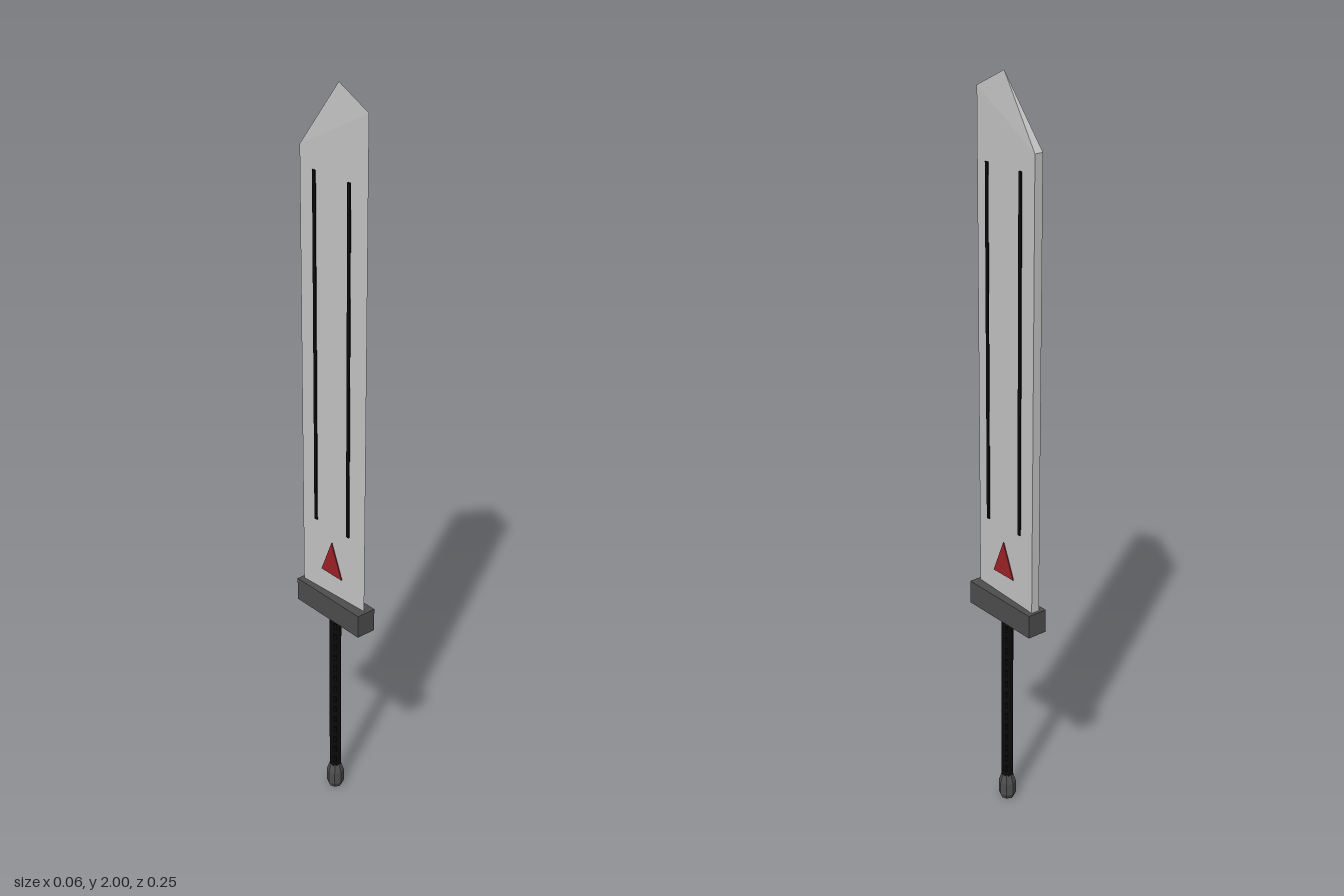
import * as THREE from 'three';

const mat = (name, color) => {
  const m = new THREE.MeshStandardMaterial({ color });
  m.name = name;
  return m;
};

export function createModel() {
  const steel = mat('steel', 0xc6c6c6);
  const darkMetal = mat('dark metal', 0x4e4e4e);
  const black = mat('black', 0x0b0b0b);
  const red = mat('red', 0x9e2228);

  const model = new THREE.Group();
  model.name = 'sword';
  const add = (name, geometry, material, x = 0, y = 0, z = 0) => {
    const mesh = new THREE.Mesh(geometry, material);
    mesh.name = name;
    mesh.position.set(x, y, z);
    model.add(mesh);
    return mesh;
  };

  // Wedge blade: flat spine at the back, sharp edge at the front, ridge up to the tip
  const t = 0.012, zf = 0.115, zb = -0.115, y0 = 0.6;
  const corners = {
    fb: [0, y0, zf], ft: [0, 1.95, zf], tip: [0, 2, 0.012],
    lb: [t, y0, zb], lt: [t, 1.83, zb],
    rb: [-t, y0, zb], rt: [-t, 1.83, zb],
  };
  const faces = [
    'fb lb lt', 'fb lt ft', 'ft lt tip', // left side
    'fb rt rb', 'fb ft rt', 'ft tip rt', // right side
    'lb rb rt', 'lb rt lt',              // spine
    'lt rt tip',                         // sloped top
    'fb rb lb',                          // underside
  ];
  const points = faces.flatMap((f) => f.split(' ').flatMap((c) => corners[c]));
  const bladeGeo = new THREE.BufferGeometry();
  bladeGeo.setAttribute('position', new THREE.Float32BufferAttribute(points, 3));
  bladeGeo.computeVertexNormals();
  add('blade', bladeGeo, steel);

  // Painted stripes and triangle on both sides
  const triangle = new THREE.Shape([
    new THREE.Vector2(-0.04, 0.7), new THREE.Vector2(0.04, 0.7), new THREE.Vector2(0, 0.795),
  ]);
  const plate = 0.003;
  const triangleGeo = new THREE.ExtrudeGeometry(triangle, { depth: plate, bevelEnabled: false });
  triangleGeo.translate(0, 0, -plate / 2).rotateY(-Math.PI / 2);
  const stripeGeo = new THREE.BoxGeometry(plate, 0.94, 0.01);
  for (const side of [1, -1]) {
    add('triangleMark', triangleGeo, red, side * 0.0125);
    for (const z of [0.063, -0.063]) add('stripe', stripeGeo, black, side * 0.0125, 1.31, z);
  }

  // Crossguard
  add('guard', new THREE.BoxGeometry(0.056, 0.065, 0.247), darkMetal, 0, 0.6025, 0);

  // Grip with a row of small wrap knots set on the diagonal
  add('grip', new THREE.CylinderGeometry(0.016, 0.016, 0.52, 12), black, 0, 0.325, 0);
  const knotGeo = new THREE.BoxGeometry(0.042, 0.015, 0.008);
  for (let i = 0; i < 14; i++) {
    add('wrapKnot', knotGeo, black, 0, 0.1 + i * 0.034, 0).rotation.y = Math.PI / 4;
  }

  // Faceted pommel
  const profile = [[0, 0], [0.018, 0], [0.024, 0.014], [0.024, 0.05], [0.016, 0.075], [0, 0.075]];
  const pommelGeo = new THREE.LatheGeometry(profile.map((p) => new THREE.Vector2(...p)), 8)
    .toNonIndexed();
  pommelGeo.computeVertexNormals();
  add('pommel', pommelGeo, darkMetal);

  return model;
}
